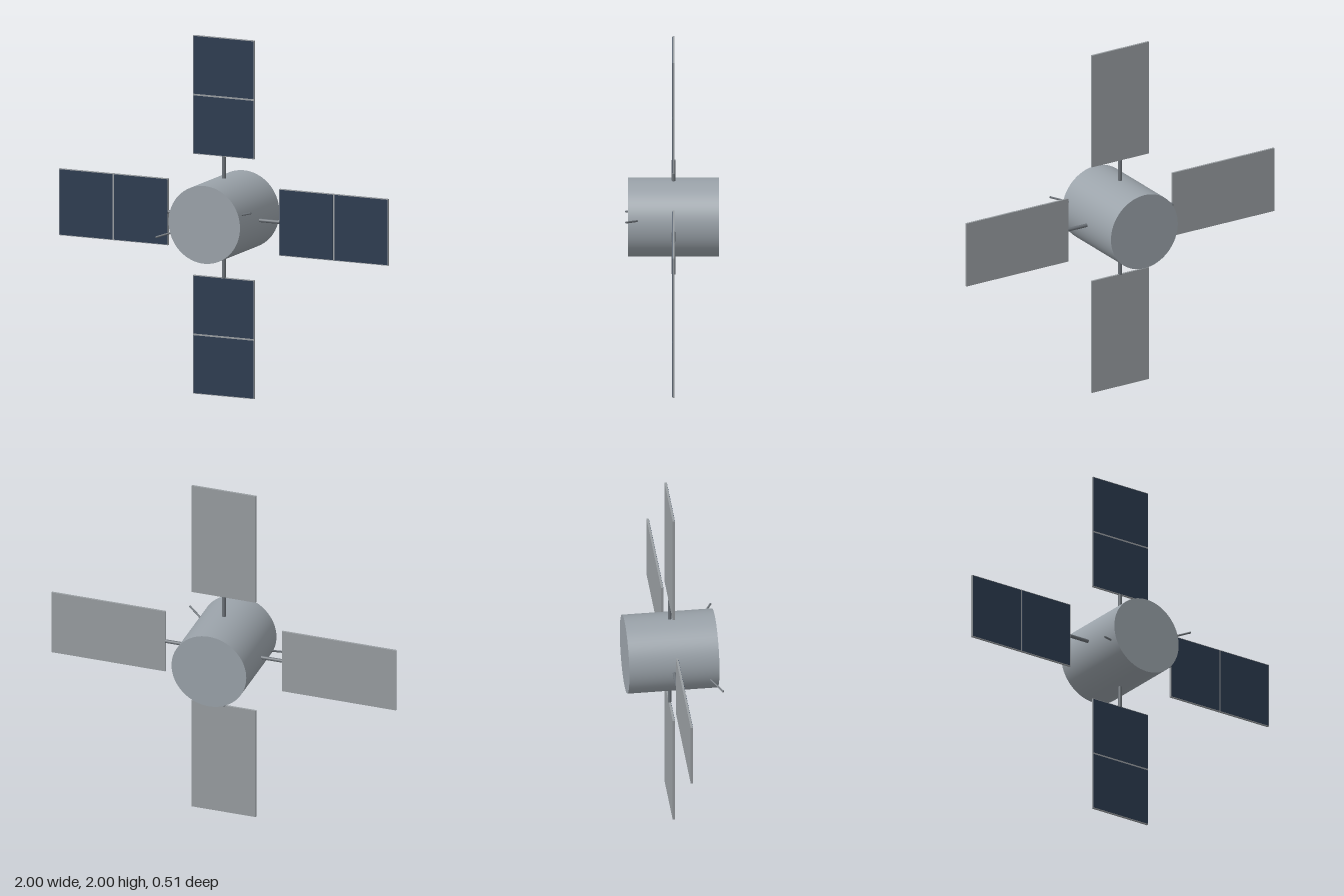
import * as THREE from 'three';

const mat = (name, color) => {
  const m = new THREE.MeshStandardMaterial({ color });
  m.name = name;
  return m;
};

export function createModel() {
  const hull = mat('hull grey', 0x9aa2a9);
  const frame = mat('frame grey', 0x989da1);
  const cell = mat('solar blue', 0x2b3a4f);
  const metal = mat('dark metal', 0x6b7177);

  const model = new THREE.Group();
  model.name = 'satellite';
  const Z = -0.008; // plane of the panels and middle of the body

  const add = (parent, name, geometry, material, x = 0, y = 0, z = 0) => {
    const mesh = new THREE.Mesh(geometry, material);
    mesh.name = name;
    mesh.position.set(x, y, z);
    parent.add(mesh);
    return mesh;
  };

  // Drum-shaped body lying along z
  const bodyGeo = new THREE.CylinderGeometry(0.217, 0.217, 0.497, 64).rotateX(Math.PI / 2);
  add(model, 'body', bodyGeo, hull, 0, 1, Z);

  // Four wings: strut, framed panel and two cell plates, built along +x
  const inner = 0.338, outer = 1, width = 0.372, thick = 0.012;
  const length = outer - inner, mid = (inner + outer) / 2;
  const border = 0.004, gap = 0.01;
  const cellLength = (length - gap) / 2 - border;
  const panelGeo = new THREE.BoxGeometry(length, width, thick);
  const cellGeo = new THREE.BoxGeometry(cellLength, width - 2 * border, 0.003);
  const strutGeo = new THREE.CylinderGeometry(0.01, 0.01, 0.14, 16).rotateZ(Math.PI / 2);
  ['leftWing', 'topWing', 'rightWing', 'bottomWing'].forEach((name, i) => {
    const wing = new THREE.Group();
    wing.name = name;
    wing.position.set(0, 1, Z);
    wing.rotation.z = i * Math.PI / 2;
    add(wing, 'strut', strutGeo, metal, 0.27);
    add(wing, 'panelFrame', panelGeo, frame, mid);
    for (const s of [-1, 1]) {
      add(wing, 'solarCells', cellGeo, cell, mid + s * (gap + cellLength) / 2, 0, thick / 2);
    }
    model.add(wing);
  });

  // Two thin antennas slanting forward from opposite sides of the body
  for (const s of [1, -1]) {
    const root = new THREE.Vector3(s * 0.185, 1 + s * 0.058, 0.178);
    const tip = new THREE.Vector3(s * 0.29, 1 + s * 0.092, 0.253);
    const dir = tip.clone().sub(root);
    const geo = new THREE.CylinderGeometry(0.0055, 0.0055, dir.length(), 12);
    const rod = add(model, s > 0 ? 'leftAntenna' : 'rightAntenna', geo, metal);
    rod.position.copy(root).add(tip).multiplyScalar(0.5);
    rod.quaternion.setFromUnitVectors(new THREE.Vector3(0, 1, 0), dir.normalize());
  }

  return model;
}
